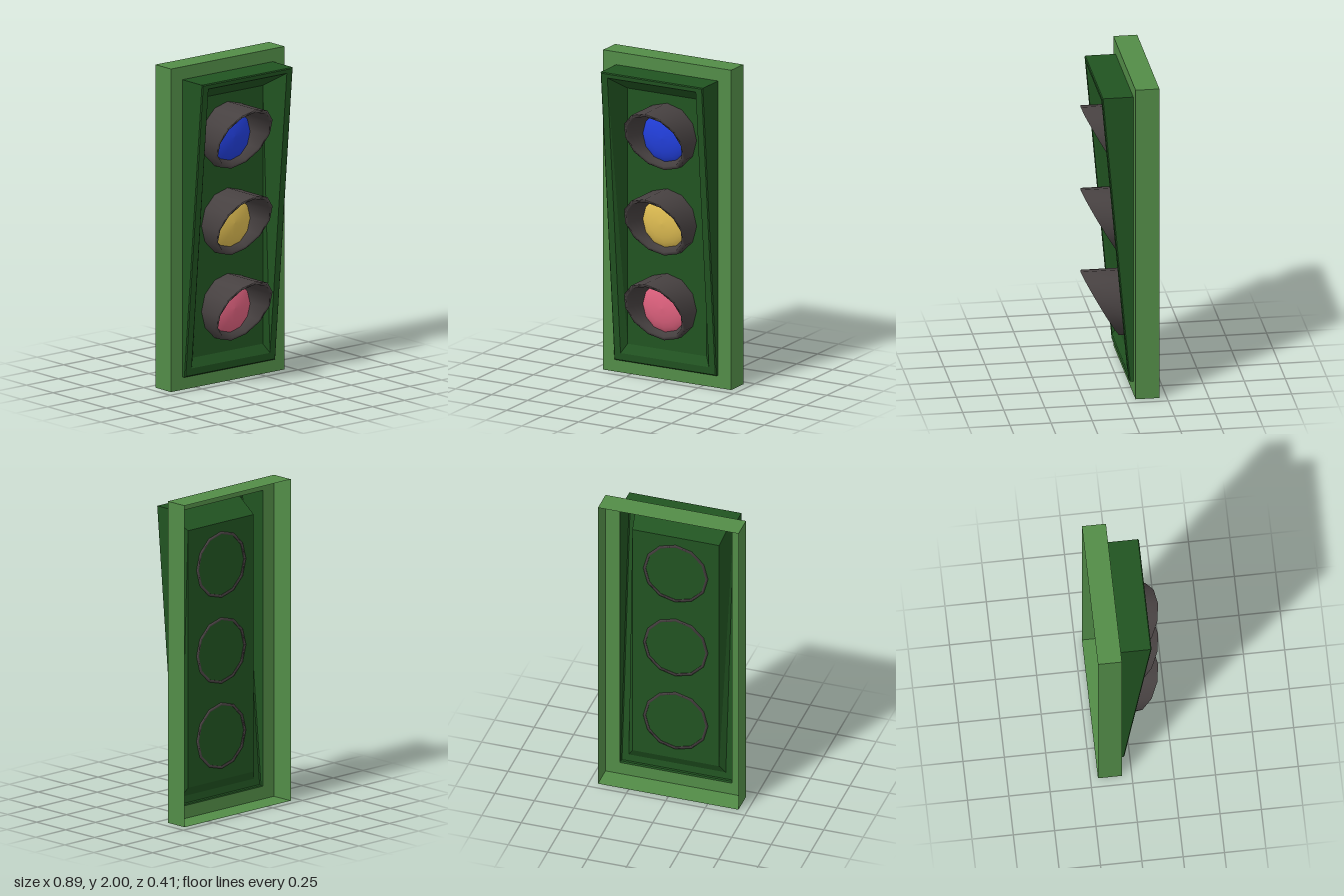
import * as THREE from 'three';

const mat = (name, color) => {
  const m = new THREE.MeshStandardMaterial({ color, side: THREE.DoubleSide });
  m.name = name;
  return m;
};

// Skin a list of equal-length point loops (counter-clockwise seen from the front)
function loft(loops, flat) {
  const n = loops[0].length, index = [];
  for (let i = 0; i < loops.length - 1; i++) {
    for (let j = 0; j < n; j++) {
      const a = i * n + j, b = i * n + (j + 1) % n;
      index.push(a, b, b + n, a, b + n, a + n);
    }
  }
  let geo = new THREE.BufferGeometry();
  geo.setAttribute('position', new THREE.Float32BufferAttribute(loops.flat(2), 3));
  geo.setIndex(index);
  if (flat) geo = geo.toNonIndexed();
  geo.computeVertexNormals();
  return geo;
}

// Rectangular loop whose depth is a function of height
const rect = (w, y0, y1, z) => [[-w, y0], [w, y0], [w, y1], [-w, y1]].map(([x, y]) => [x, y, z(y)]);

// Twelve-sided loop with a vertex at the top
const ring = (r, z) => Array.from({ length: 12 }, (_, i) => {
  const a = i * Math.PI / 6, y = r * Math.sin(a);
  return [r * Math.cos(a), y, z(y)];
});

export function createModel() {
  const model = new THREE.Group();
  const lightGreen = mat('light green', 0x528c47);
  const darkGreen = mat('dark green', 0x215321);
  const charcoal = mat('charcoal', 0x474141);
  const add = (parent, name, geo, material) => {
    const mesh = new THREE.Mesh(geo, material);
    mesh.name = name;
    parent.add(mesh);
    return mesh;
  };

  const BACK = -0.205, FACE = -0.06;
  const at = z => () => z;

  // Backplate: open-backed shell with a wide front border
  add(model, 'backplate', loft([
    rect(0.445, 0, 2, at(BACK)),
    rect(0.445, 0, 2, at(FACE)),
    rect(0.355, 0.08, 1.92, at(FACE)),
  ], true), lightGreen);

  // Housing: sloping rim, deeper at the top, with a tapered recess
  const slope = y => -0.035 + (y - 0.08) * 0.165 / 1.84;
  add(model, 'housing', loft([
    rect(0.355, 0.08, 1.92, at(FACE)),
    rect(0.355, 0.08, 1.92, y => slope(y) - 0.006),
    rect(0.349, 0.086, 1.914, slope),
    rect(0.307, 0.13, 1.89, slope),
    rect(0.275, 0.186, 1.785, at(FACE)),
  ], true), darkGreen);
  const panel = add(model, 'lampPanel', new THREE.PlaneGeometry(0.55, 1.599), darkGreen);
  panel.position.set(0, 0.9855, FACE);

  // Three lamps, each a raked hood around a shallow domed lens
  const lamps = [
    ['bottomLamp', 0.46, mat('pink', 0xe0627f)],
    ['middleLamp', 0.99, mat('yellow', 0xdfbd52)],
    ['topLamp', 1.525, mat('blue', 0x223fdc)],
  ];
  const rake = y => 0.207 - (0.205 - y) * 0.57;
  const hoodGeo = loft([
    ring(0.19, at(FACE)),
    ring(0.19, at(FACE - 0.006)),
    ring(0.205, at(FACE - 0.006)),
    ring(0.205, rake),
    ring(0.183, rake),
    ring(0.155, at(-0.036)),
  ], false);
  const profile = [[0.157, 0], [0.15, 0.008], [0.125, 0.022], [0.09, 0.034], [0.045, 0.042], [0, 0.045]];
  const lensGeo = new THREE.LatheGeometry(profile.map(p => new THREE.Vector2(...p)), 12);
  lensGeo.rotateX(Math.PI / 2).translate(0, 0, -0.038);

  for (const [name, y, colour] of lamps) {
    const lamp = new THREE.Group();
    lamp.name = name;
    lamp.position.y = y;
    add(lamp, 'hood', hoodGeo, charcoal);
    add(lamp, 'lens', lensGeo, colour);
    model.add(lamp);
  }
  return model;
}
